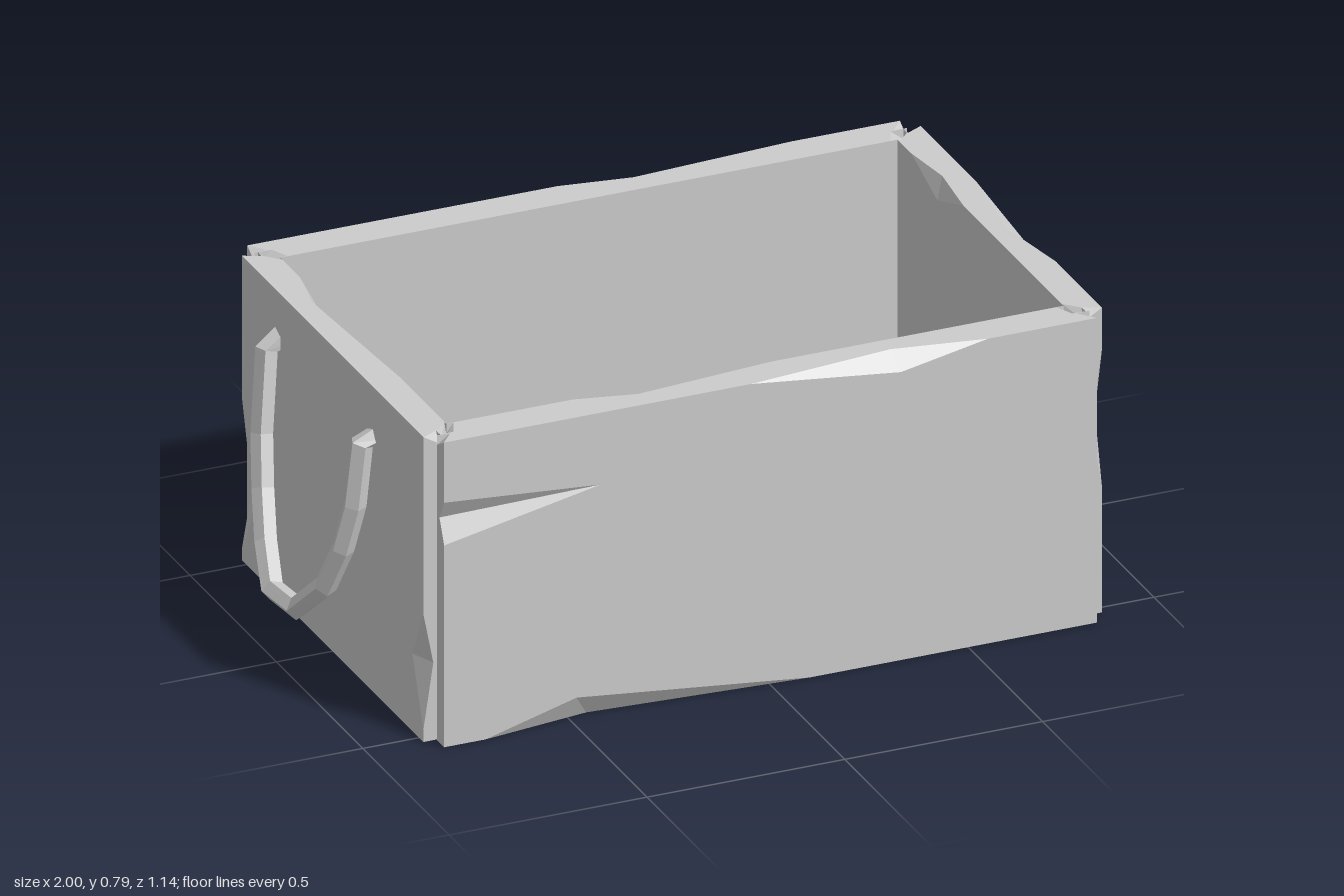
import * as THREE from 'three';

const TOP = 0.785;        // rim height
const RECESS = 0.065;     // underside of the floor

// One chipped edge of a slab. axis: 0 = along, 1 = up, 2 = through the thickness.
// fixed: the edge's values on the next two axes; p and q are the [position, depth]
// points of the cut on the two faces that meet there.
const chip = (axis, fixed, from, to, p, q) => ({ axis, fixed, from, to, p, q });

function chipPoint(c, t, d1 = 0, d2 = 0) {
  const pt = [0, 0, 0];
  const inward = (o, d) => (o ? 1 - d : d);
  pt[c.axis] = t;
  pt[(c.axis + 1) % 3] = inward(c.fixed[0], d1);
  pt[(c.axis + 2) % 3] = inward(c.fixed[1], d2);
  return pt;
}
const chainP = (c) => [chipPoint(c, c.from), ...c.p.map(([t, d]) => chipPoint(c, t, 0, d)), chipPoint(c, c.to)];
const chainQ = (c) => [chipPoint(c, c.from), ...c.q.map(([t, d]) => chipPoint(c, t, d, 0)), chipPoint(c, c.to)];

// Six-sided slab with chipped edges; map turns (0..1)^3 into model space
function chippedSlab(map, chips) {
  const pos = [];
  const at = (p) => map(...p);
  const tri = (a, b, c, out) => {
    const n = b.clone().sub(a).cross(c.clone().sub(a));
    if (n.lengthSq() < 1e-14) return;
    const order = n.dot(out) >= 0 ? [a, b, c] : [a, c, b];
    order.forEach((v) => pos.push(v.x, v.y, v.z));
  };
  const centre = map(0.5, 0.5, 0.5);

  for (let a = 0; a < 3; a++) for (const s of [0, 1]) {
    const i = (a + 1) % 3, j = (a + 2) % 3, loop = [];
    const corner = (x, y) => { const p = []; p[a] = s; p[i] = x; p[j] = y; return p; };
    const ring = [[0, 0], [1, 0], [1, 1], [0, 1]].map(([x, y]) => corner(x, y));
    ring.forEach((c0, k) => {
      loop.push(c0);
      const along = k % 2 ? j : i, extra = [];
      for (const c of chips) {
        const n1 = (c.axis + 1) % 3, n2 = (c.axis + 2) % 3;
        if (c.axis !== along || c0[n1] !== c.fixed[0] || c0[n2] !== c.fixed[1]) continue;
        extra.push(n1 === a ? chainP(c) : chainQ(c));
      }
      extra.sort((m, n) => m[0][along] - n[0][along]);
      const line = extra.flat();
      if (c0[along] === 1) line.reverse();
      loop.push(...line);
    });
    const flat = loop.map((p) => new THREE.Vector2(p[i], p[j]));
    const mid = [0.5, 0.5, 0.5];
    mid[a] = s;
    const out = at(mid).sub(centre);
    for (const f of THREE.ShapeUtils.triangulateShape(flat, [])) {
      tri(at(loop[f[0]]), at(loop[f[1]]), at(loop[f[2]]), out);
    }
  }

  // Cut faces of the chips
  for (const c of chips) {
    const p = chainP(c), q = chainQ(c), m = (c.from + c.to) / 2;
    const out = at(chipPoint(c, m)).sub(at(chipPoint(c, m, 0.1, 0.1)));
    for (let k = 0; k + 1 < p.length; k++) {
      tri(at(p[k]), at(p[k + 1]), at(q[k]), out);
      tri(at(p[k + 1]), at(q[k + 1]), at(q[k]), out);
    }
  }
  const g = new THREE.BufferGeometry();
  g.setAttribute('position', new THREE.Float32BufferAttribute(pos, 3));
  g.computeVertexNormals();
  return g;
}

// Wall slab: u along, v up, w from inside to outside
const { lerp } = THREE.MathUtils;
const wallMap = (inHalf, outHalf, near, far, bottom, place) => (u, v, w) =>
  place((2 * u - 1) * lerp(inHalf, outHalf, w), lerp(bottom, TOP, v), lerp(near, far, w));
const alongX = (side) => (l, y, d) => new THREE.Vector3(l, y, side * d);
const alongZ = (side) => (l, y, d) => new THREE.Vector3(side * d, y, l);

// Outer panels reach the ground; inner linings are mitred and stop at the floor
const longPanel = (side) => wallMap(0.825, 0.825, 0.528, 0.57, 0, alongX(side));
const shortPanel = (side) => wallMap(0.525, 0.525, 0.816, 0.858, 0, alongZ(side));
const longLining = (side) => wallMap(0.78, 0.816, 0.48, 0.528, RECESS, alongX(side));
const shortLining = (side) => wallMap(0.48, 0.528, 0.78, 0.816, RECESS, alongZ(side));

// Bevels on the tops of both ends, deepest towards the inner corner
const panelEnds = [0, 1].map((u) => chip(2, [u, 1], 0.01, 0.99, [[0.03, 0.03]], [[0.03, 0.02]]));
const liningEnds = [0, 1].map((u) => chip(2, [u, 1], 0.01, 0.99,
  [[0.03, 0.035], [0.95, 0.035]], [[0.03, 0.012], [0.95, 0.02]]));

// Positions along the slabs
const spot = (half) => (x) => (x + half) / (2 * half);
const X = spot(0.825), Z = spot(0.525), XL = spot(0.78), ZL = spot(0.48);
const Y = (y) => y / TOP;

// Handle path that keeps its sharp bends
class Polyline extends THREE.Curve {
  constructor(points) { super(); this.points = points; }
  getPoint(t) { return this.points[Math.round(t * (this.points.length - 1))].clone(); }
  getPointAt(t) { return this.getPoint(t); }
  getTangentAt(t) {
    const n = this.points.length - 1, k = Math.round(t * n);
    return this.points[Math.min(n, k + 1)].clone().sub(this.points[Math.max(0, k - 1)]).normalize();
  }
}

export function createModel() {
  const group = new THREE.Group();
  const grey = new THREE.MeshStandardMaterial({ color: 0xcccccc, flatShading: true });
  grey.name = 'plain grey';
  const add = (name, geometry) => {
    const mesh = new THREE.Mesh(geometry, grey);
    mesh.name = name;
    group.add(mesh);
  };

  // Long walls
  add('frontPanel', chippedSlab(longPanel(1), [
    ...panelEnds,
    chip(0, [1, 1], X(-0.05), X(0.55), [[X(0.32), 0.95]], [[X(0.33), 0.055]]),
    chip(0, [0, 1], X(-0.72), X(0.1), [[X(-0.45), 0.9]], [[X(-0.49), 0.08]]),
    chip(1, [1, 0], Y(0.52), Y(0.63), [[Y(0.6), 0.24]], [[Y(0.58), 0.65]]),
  ]));
  add('frontLining', chippedSlab(longLining(1), [
    ...liningEnds,
    chip(0, [1, 0], XL(-0.46), XL(0.04), [[XL(-0.3), 0.7]], [[XL(-0.25), 0.065]]),
  ]));
  add('backPanel', chippedSlab(longPanel(-1), [
    ...panelEnds,
    chip(0, [1, 1], X(-0.04), X(0.55), [[X(0.14), 0.65]], [[X(0.2), 0.06]]),
    chip(0, [0, 1], X(-0.75), X(0.45), [[X(-0.4), 0.9]], [[X(-0.42), 0.07]]),
    chip(1, [1, 1], Y(0.33), Y(0.52), [[Y(0.37), 0.19]], [[Y(0.43), 0.55]]),
  ]));
  add('backLining', chippedSlab(longLining(-1), liningEnds));

  // Short walls
  add('leftPanel', chippedSlab(shortPanel(1), [
    ...panelEnds,
    chip(0, [1, 1], Z(-0.2), Z(0.26), [[Z(0.07), 0.85]], [[Z(0.07), 0.035]]),
    chip(0, [0, 1], Z(-0.52), Z(0.24), [[Z(-0.33), 0.8], [Z(0.05), 0.8]], [[Z(-0.33), 0.077], [Z(0.05), 0.083]]),
    chip(1, [1, 1], Y(0.32), Y(0.68), [[Y(0.5), 0.04]], [[Y(0.5), 0.7]]),
  ]));
  add('leftLining', chippedSlab(shortLining(1), [
    ...liningEnds,
    chip(0, [1, 0], ZL(-0.4), ZL(-0.1), [[ZL(-0.25), 0.5]], [[ZL(-0.25), 0.075]]),
  ]));
  add('rightPanel', chippedSlab(shortPanel(-1), [
    ...panelEnds,
    chip(1, [1, 1], Y(0.03), Y(0.33), [[Y(0.2), 0.06]], [[Y(0.2), 0.6]]),
    chip(1, [1, 0], Y(0.03), Y(0.42), [[Y(0.18), 0.08]], [[Y(0.18), 0.6]]),
  ]));
  add('rightLining', chippedSlab(shortLining(-1), [
    ...liningEnds,
    chip(0, [1, 0], ZL(-0.37), ZL(0.22), [[ZL(-0.22), 0.75]], [[ZL(-0.2), 0.075]]),
  ]));

  // Raised floor with gouges running in from its edges
  const floorMap = (u, v, w) => new THREE.Vector3((2 * u - 1) * 0.78, RECESS + 0.055 * v, (2 * w - 1) * 0.48);
  add('floor', chippedSlab(floorMap, [
    chip(2, [0, 1], ZL(-0.07), ZL(0.06), [[ZL(-0.02), 0.4]], [[ZL(-0.01), 0.18]]),
    chip(2, [1, 1], ZL(-0.4), ZL(-0.24), [[ZL(-0.29), 0.4]], [[ZL(-0.29), 0.19]]),
    chip(0, [1, 1], XL(0.04), XL(0.52), [[XL(0.31), 0.05]], [[XL(0.3), 0.4]]),
  ]));

  // Hanging rope handles, mirrored
  const path = [
    [0.84, 0.655, 0.225], [0.882, 0.64, 0.222], [0.897, 0.48, 0.216], [0.916, 0.36, 0.19],
    [0.938, 0.245, 0.14], [0.968, 0.152, 0.045], [0.972, 0.144, -0.085], [0.943, 0.215, -0.19],
    [0.922, 0.32, -0.255], [0.905, 0.44, -0.3], [0.882, 0.64, -0.325], [0.84, 0.668, -0.325],
  ];
  for (const side of [1, -1]) {
    const points = path.map(([x, y, z]) => new THREE.Vector3(side * x, y, z));
    add(side > 0 ? 'leftHandle' : 'rightHandle',
      new THREE.TubeGeometry(new Polyline(points), path.length - 1, 0.028, 5));
  }
  return group;
}
